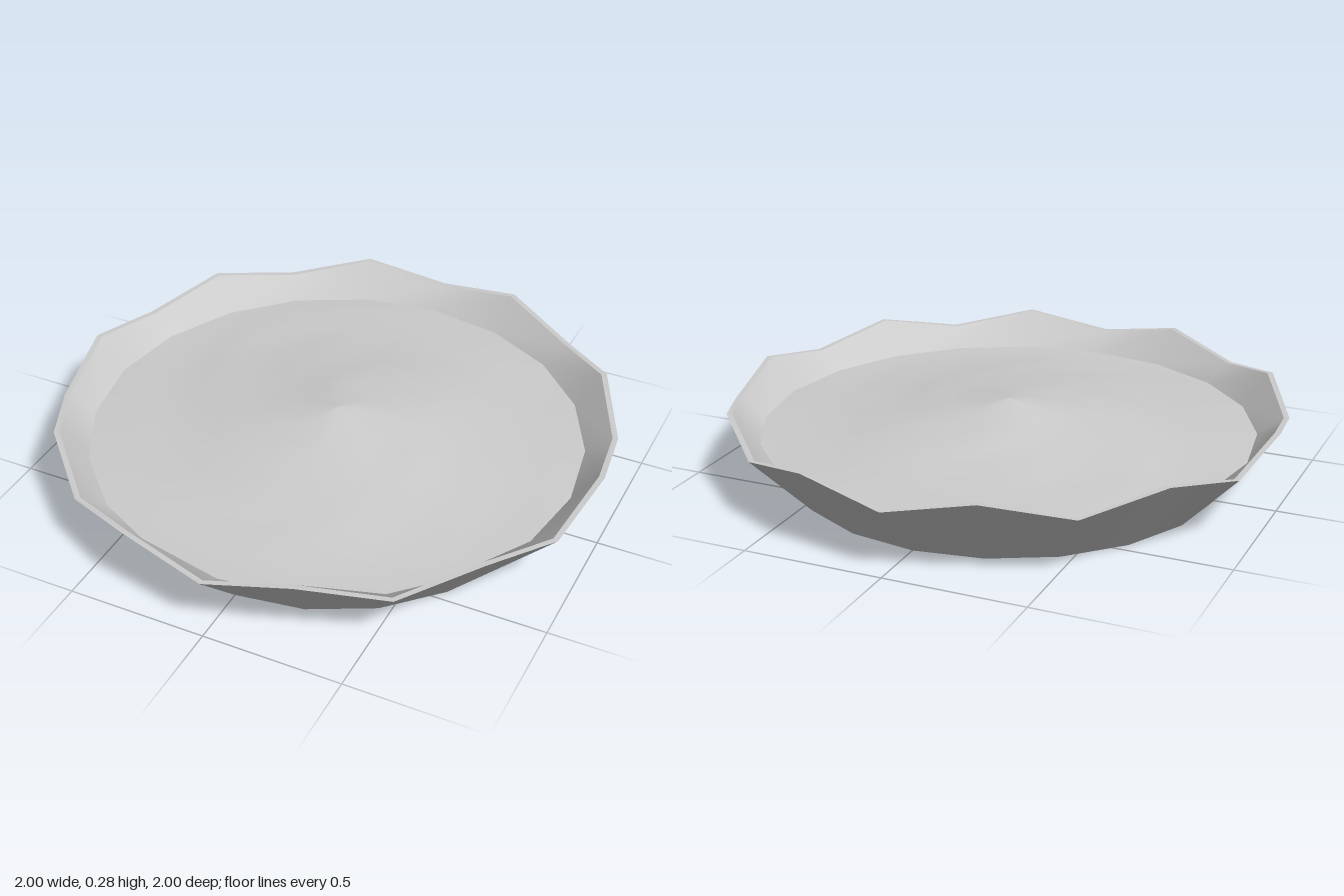
import * as THREE from 'three';

const SIDES = 20;

// Point k of a ring; radius and height may vary with k
const ring = (radius, height) =>
  Array.from({ length: SIDES }, (_, k) => {
    const a = (k / SIDES) * Math.PI * 2;
    const r = typeof radius === 'function' ? radius(k) : radius;
    const y = typeof height === 'function' ? height(k) : height;
    return [r * Math.sin(a), y, r * Math.cos(a)];
  });

// Skin a series of rings with smooth normals
function skin(name, rings, material) {
  const index = [];
  for (let j = 0; j < rings.length - 1; j++) {
    for (let k = 0; k < SIDES; k++) {
      const n = (k + 1) % SIDES;
      const a = j * SIDES + k, b = j * SIDES + n;
      index.push(a, b, b + SIDES, a, b + SIDES, a + SIDES);
    }
  }
  const geometry = new THREE.BufferGeometry();
  geometry.setAttribute('position', new THREE.Float32BufferAttribute(rings.flat(2), 3));
  geometry.setIndex(index);
  geometry.computeVertexNormals();
  const mesh = new THREE.Mesh(geometry, material);
  mesh.name = name;
  return mesh;
}

function seeded(seed) {
  return () => {
    seed = (seed * 16807) % 2147483647;
    return seed / 2147483647 - 0.5;
  };
}

export function createModel() {
  const group = new THREE.Group();
  group.name = 'filledBowl';
  const grey = new THREE.MeshStandardMaterial({ color: 0xcccccc, side: THREE.DoubleSide });

  // The rim rises and dips at alternate corners
  const wave = (k) => (k % 2 ? 0.285 : 0.225);
  const base = ring(0.78, 0);
  const rimOuter = ring(1, wave);
  const rimInner = ring(0.98, wave);
  const fillEdge = ring(0.89, 0.16);

  group.add(
    skin('base', [ring(0, 0), base], grey),
    skin('outerWall', [base, rimOuter], grey),
    skin('rim', [rimOuter, rimInner], grey),
    skin('innerWall', [rimInner, fillEdge], grey),
  );

  // Gently heaped, uneven filling that peaks in the middle
  const noise = seeded(77);
  const fillRings = [fillEdge];
  for (const t of [0.87, 0.74, 0.61, 0.48, 0.36, 0.24, 0.12]) {
    const y = 0.16 + 0.105 * (1 - t) ** 1.5;
    fillRings.push(ring(0.89 * t, () => y + 0.016 * noise() * Math.min(1, t * 2.5)));
  }
  fillRings.push(ring(0, 0.265));
  group.add(skin('filling', fillRings, grey));

  return group;
}
